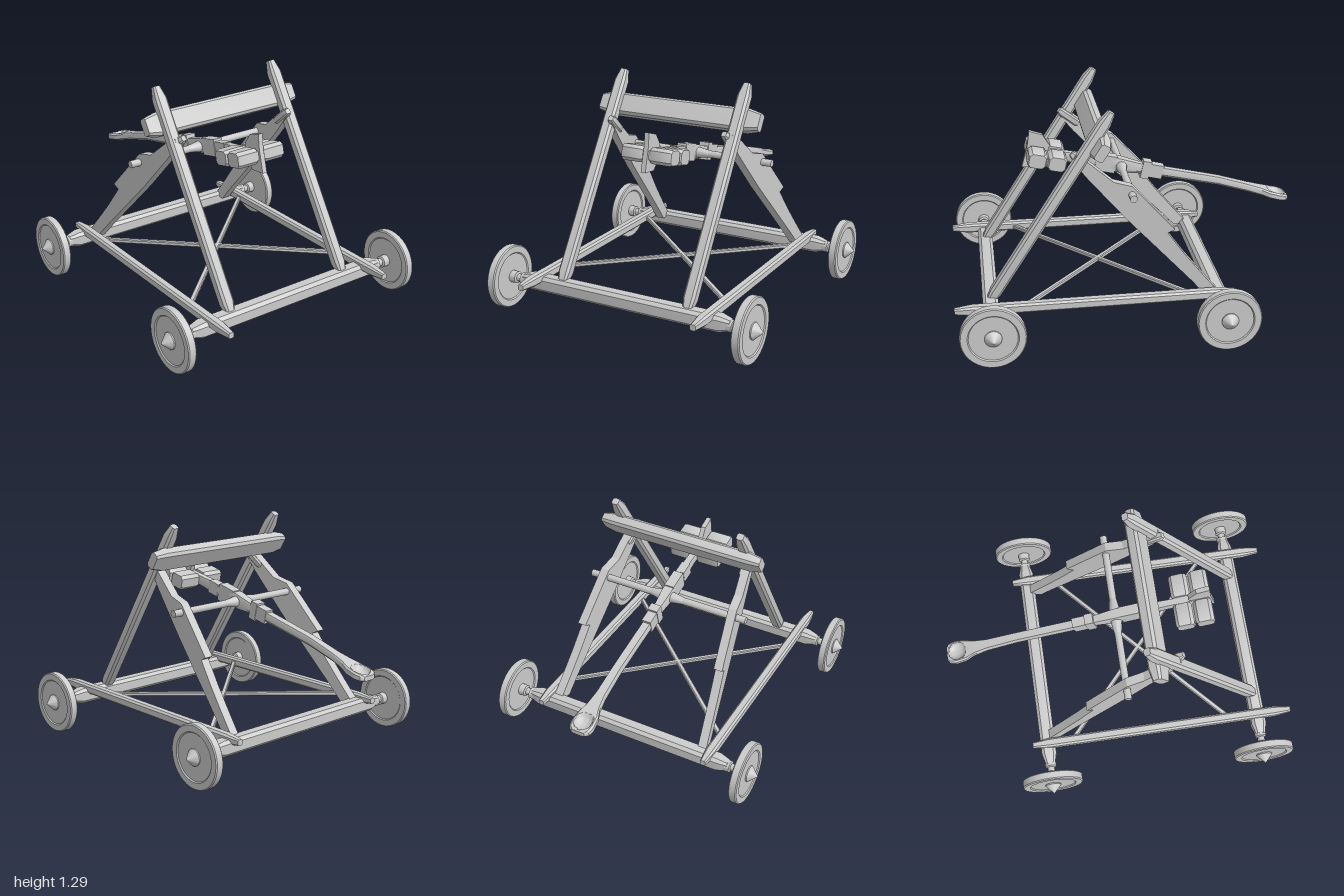
import * as THREE from 'three';
import { mergeVertices, toCreasedNormals } from 'three/addons/utils/BufferGeometryUtils.js';

const V = (x, y, z) => new THREE.Vector3(x, y, z);
const material = new THREE.MeshStandardMaterial({ color: 0xcccccc });

function part(parent, name, geometry, crease = 0.55) {
  const mesh = new THREE.Mesh(toCreasedNormals(geometry, crease), material);
  mesh.name = name;
  parent.add(mesh);
  return mesh;
}

// Skin a list of equal-length rings and cap both ends
function loft(rings) {
  const n = rings[0].length, pos = [], idx = [];
  rings.forEach(r => r.forEach(p => pos.push(p.x, p.y, p.z)));
  for (let i = 0; i < rings.length - 1; i++) {
    for (let j = 0; j < n; j++) {
      const a = i * n + j, b = i * n + (j + 1) % n;
      idx.push(a, b, b + n, a, b + n, a + n);
    }
  }
  [0, rings.length - 1].forEach((k, end) => {
    const c = rings[k].reduce((s, p) => s.add(p), V(0, 0, 0)).divideScalar(n);
    const ci = pos.length / 3;
    pos.push(c.x, c.y, c.z);
    for (let j = 0; j < n; j++) {
      const a = k * n + j, b = k * n + (j + 1) % n;
      end ? idx.push(ci, a, b) : idx.push(ci, b, a);
    }
  });
  const g = new THREE.BufferGeometry();
  g.setAttribute('position', new THREE.Float32BufferAttribute(pos, 3));
  g.setIndex(idx);
  return mergeVertices(g);
}

// Chamfered timber from a to b; w along "side", h across it, ends tapering over "taper"
function beam(a, b, side, w, h, taper = 0.04, tip = 0.65) {
  const d = b.clone().sub(a), len = d.length();
  d.normalize();
  const u = side.clone().addScaledVector(d, -side.dot(d)).normalize();
  const v = d.clone().cross(u);
  const c = Math.min(w, h) * 0.2, x = w / 2, y = h / 2;
  const section = [[x, -y + c], [x, y - c], [x - c, y], [-x + c, y],
    [-x, y - c], [-x, -y + c], [-x + c, -y], [x - c, -y]];
  const stations = [[0, tip], [taper, 1], [len - taper, 1], [len, tip]];
  return loft(stations.map(([t, s]) => section.map(([p, q]) =>
    a.clone().addScaledVector(d, t).addScaledVector(u, p * s).addScaledVector(v, q * s))));
}

function rod(a, b, r, sides = 12) {
  const d = b.clone().sub(a);
  const g = new THREE.CylinderGeometry(r, r, d.length(), sides);
  g.applyQuaternion(new THREE.Quaternion().setFromUnitVectors(V(0, 1, 0), d.clone().normalize()));
  const m = a.clone().add(b).multiplyScalar(0.5);
  return g.translate(m.x, m.y, m.z);
}

// Throwing arm: rows of x, centre y, half height, half width
const ARM = [
  [-1, 0.562, 0.013, 0.04], [-0.985, 0.565, 0.02, 0.06], [-0.95, 0.572, 0.024, 0.068],
  [-0.89, 0.587, 0.024, 0.062], [-0.84, 0.605, 0.024, 0.043], [-0.76, 0.63, 0.024, 0.03],
  [-0.58, 0.685, 0.025, 0.026], [-0.26, 0.757, 0.027, 0.026], [-0.1, 0.795, 0.032, 0.026],
  [0, 0.817, 0.045, 0.034], [0.1, 0.84, 0.04, 0.027], [0.3, 0.885, 0.03, 0.022], [0.5, 0.925, 0.025, 0.02],
];
function armAt(x) {
  const i = Math.max(1, ARM.findIndex(r => r[0] >= x));
  const a = ARM[i - 1], b = ARM[i], t = (x - a[0]) / (b[0] - a[0]);
  return a.map((q, k) => q + (b[k] - q) * t);
}

function armGeometry() {
  const xs = [];
  for (let x = -1; x < -0.865; x += 0.0075) xs.push(x);
  ARM.slice(4).forEach(r => xs.push(r[0]));
  return loft(xs.map(x => {
    const [, y, h, w] = armAt(x), ring = [];
    // top row carries the round hollow of the spoon
    for (let k = 0; k <= 16; k++) {
      const s = -1 + k / 8, z = s * w * 0.85;
      const hollow = Math.max(0, 1 - ((x + 0.937) ** 2 + z * z) / 0.0025);
      ring.push(V(x, y + h - 0.032 * Math.sqrt(hollow), z));
    }
    ring.push(V(x, y + h * 0.6, w), V(x, y - h * 0.5, w), V(x, y - h, w * 0.6));
    ring.push(V(x, y - h, -w * 0.6), V(x, y - h * 0.5, -w), V(x, y + h * 0.6, -w));
    return ring;
  }));
}

function extrude(points, depth) {
  const shape = new THREE.Shape(points.map(p => new THREE.Vector2(...p)));
  return new THREE.ExtrudeGeometry(shape, { depth, bevelEnabled: false }).translate(0, 0, -depth / 2);
}

export function createModel() {
  const model = new THREE.Group();
  model.name = 'catapult';
  const axles = [-0.49, 0.795], X = V(1, 0, 0), Z = V(0, 0, 1);

  // Axle beams and wheels with pointed hubs
  const wheelProfile = [[0, 0.62], [0.034, 0.62], [0.034, 0.665], [0.022, 0.67], [0.022, 0.695], [0.034, 0.7],
    [0.034, 0.738], [0.132, 0.738], [0.138, 0.732], [0.174, 0.732], [0.18, 0.738], [0.18, 0.775], [0.174, 0.781],
    [0.138, 0.781], [0.132, 0.775], [0.047, 0.775], [0.047, 0.782], [0, 0.832]].map(p => new THREE.Vector2(...p));
  for (const x of axles) {
    part(model, 'axleBeam', beam(V(x, 0.185, -0.65), V(x, 0.185, 0.65), X, 0.088, 0.09, 0.06));
    for (const s of [-1, 1]) {
      const wheel = part(model, 'wheel', new THREE.LatheGeometry(wheelProfile, 36));
      wheel.rotation.x = s * Math.PI / 2;
      wheel.position.set(x, 0.18, 0);
    }
  }

  // Crossed floor braces
  for (const s of [-1, 1]) {
    part(model, 'floorBrace', beam(V(-0.34, 0.22, -0.53 * s), V(0.62, 0.22, 0.53 * s), V(0, 1, 0), 0.025, 0.028, 0.01));
  }

  // Mirrored side frames
  const rearBrace = [[-0.5, 0.2], [-0.41, 0.2], [-0.33, 0.29], [0.035, 0.675], [0.24, 0.91], [0.318, 1.01], [0.3, 1.045],
    [0.26, 1.025], [0.1, 0.89], [0.0, 0.865], [-0.235, 0.605], [-0.195, 0.585], [-0.29, 0.455], [-0.395, 0.325]];
  for (const s of [-1, 1]) {
    part(model, 'sideRail', beam(V(-0.58, 0.225, s * 0.533), V(0.995, 0.225, s * 0.533), Z, 0.056, 0.056, 0.1, 0.6));
    part(model, 'frontLeg', beam(V(0.8, 0.2, s * 0.393), V(0.107, 1.28, s * 0.393), Z, 0.07, 0.066, 0.07, 0.6));
    const g = extrude(rearBrace, 0.052);
    const p = g.attributes.position;
    // lean the brace inward as it rises
    for (let i = 0; i < p.count; i++) p.setZ(i, p.getZ(i) + s * (0.415 - 0.13 * p.getX(i)));
    g.computeVertexNormals();
    part(model, 'rearBrace', g, 0.4);
    part(model, 'bracePeg', beam(V(0.2, 0.945, s * 0.375), V(0.322, 1.045, s * 0.358), Z, 0.045, 0.045, 0.02));
  }

  // Padded stop bar between the leg tops
  part(model, 'stopBar', beam(V(0.17, 1.09, -0.505), V(0.17, 1.09, 0.505), V(-0.54, 0.84, 0), 0.13, 0.075, 0.07, 0.75));

  // Pivot rod with thicker collars at the middle
  part(model, 'pivotRod', rod(V(0, 0.815, -0.5), V(0, 0.815, 0.5), 0.021));
  for (const s of [-1, 1]) {
    const collar = part(model, 'pivotCollar', new THREE.CylinderGeometry(0.021, 0.034, 0.08, 12));
    collar.rotation.x = s * Math.PI / 2;
    collar.position.set(0, 0.815, s * 0.065);
  }

  // Throwing arm and its bindings
  part(model, 'throwingArm', armGeometry());
  const bindings = [[-0.2, 0.09, 0.08, 0.056], [-0.145, 0.05, 0.105, 0.062], [0.09, 0.12, 0.1, 0.06], [0.2, 0.08, 0.075, 0.052]];
  for (const [x, l, h, w] of bindings) {
    const b = part(model, 'armBinding', new THREE.BoxGeometry(l, h, w));
    b.position.set(x, armAt(x)[1], 0);
    b.rotation.z = 0.23;
  }

  // Counterweight blocks either side of an upright fin
  const weight = new THREE.Group();
  weight.name = 'counterweight';
  weight.position.set(0.435, 0.911, 0);
  weight.rotation.z = 0.22;
  model.add(weight);
  part(weight, 'weightCore', new THREE.BoxGeometry(0.2, 0.05, 0.27));
  for (const sx of [-1, 1]) {
    for (const sz of [-1, 1]) {
      const a = V(sx * 0.057, 0, sz * 0.022), b = V(sx * 0.057, 0, sz * 0.155);
      part(weight, 'weightBlock', beam(a, b, X, 0.106, 0.09, 0.012, 0.88));
    }
  }
  part(model, 'weightFin', extrude([[0.41, 0.965], [0.45, 1.03], [0.525, 1.055], [0.537, 0.97], [0.572, 0.842],
    [0.48, 0.832], [0.44, 0.875]], 0.028));
  return model;
}
